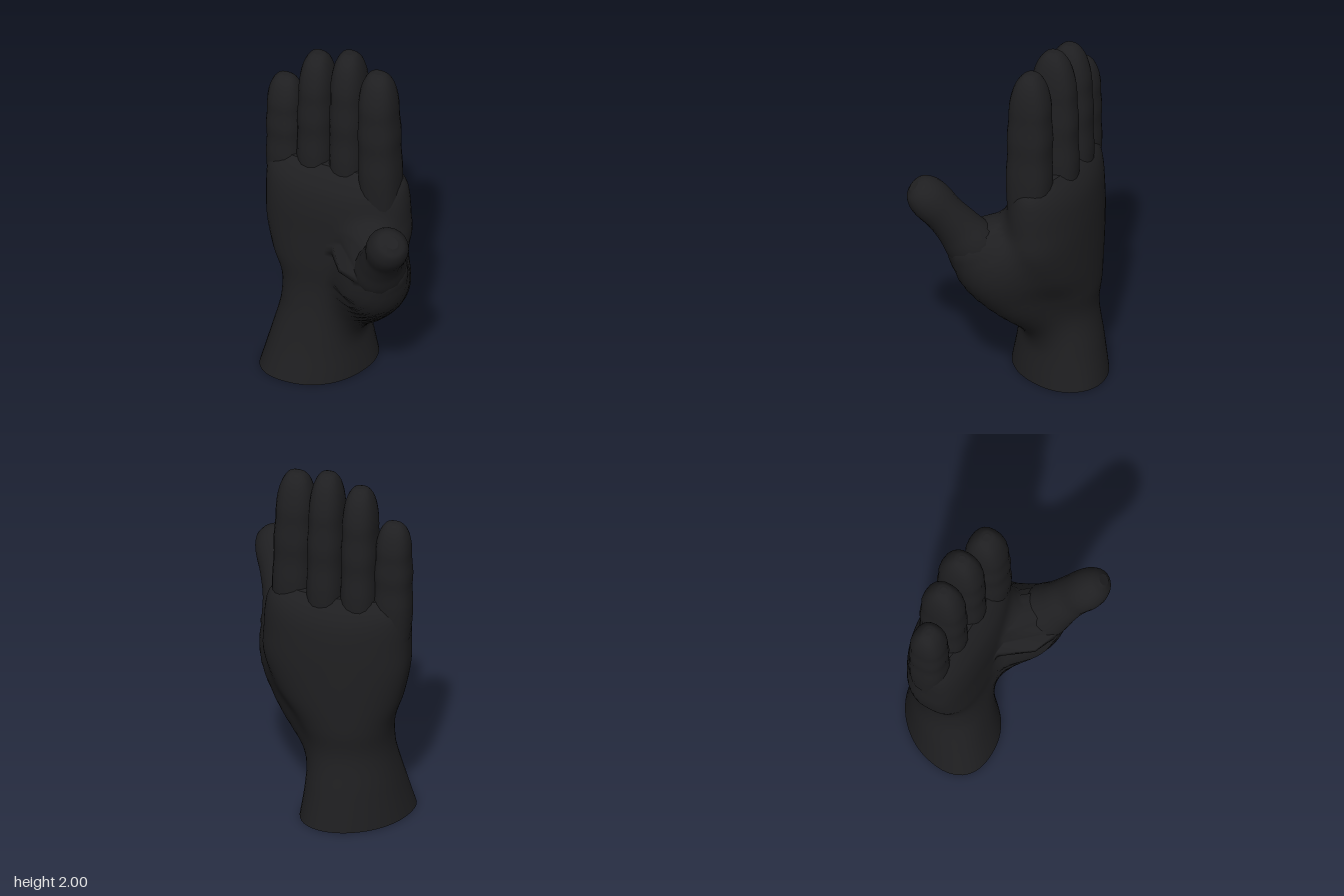
import * as THREE from 'three';

const skin = new THREE.MeshStandardMaterial({ color: 0x1f1f21 });
const curve = pts => new THREE.CatmullRomCurve3(
  pts.map(p => new THREE.Vector3(...p)), false, 'catmullrom', 0.5);
const bend = (v, power) => Math.sign(v) * Math.abs(v) ** (2 / power);

// Closed surface through rings; ringAt(t) returns { centre, points }.
function surface(name, steps, sides, ringAt) {
  const pos = [], index = [];
  const addRing = t => {
    const ring = ringAt(t);
    for (const p of ring.points) pos.push(p.x, p.y, p.z);
    return ring.centre;
  };
  for (let i = 0; i <= steps; i++) addRing(i / steps);
  for (let i = 0; i < steps; i++) {
    for (let j = 0; j < sides; j++) {
      const a = i * sides + j, b = i * sides + (j + 1) % sides;
      index.push(a, b, b + sides, a, b + sides, a + sides);
    }
  }
  // end caps with their own vertices, so the rims stay sharp
  for (const t of [0, 1]) {
    const first = pos.length / 3;
    const c = addRing(t);
    pos.push(c.x, c.y, c.z);
    for (let j = 0; j < sides; j++) {
      const a = first + j, b = first + (j + 1) % sides;
      index.push(first + sides, t ? a : b, t ? b : a);
    }
  }
  const geo = new THREE.BufferGeometry();
  geo.setAttribute('position', new THREE.Float32BufferAttribute(pos, 3));
  geo.setIndex(index);
  geo.computeVertexNormals();
  const mesh = new THREE.Mesh(geo, skin);
  mesh.name = name;
  return mesh;
}

// Tube through sections [x, y, z, halfWidth, halfDepth], rings square to the path
function limb(name, sections, power) {
  const sides = 20;
  const path = curve(sections.map(s => s.slice(0, 3)));
  const size = curve(sections.map(s => [s[3], s[4], 0]));
  const back = new THREE.Vector3(0, 0, -1);
  return surface(name, 44, sides, t => {
    const centre = path.getPoint(t), r = size.getPoint(t), T = path.getTangent(t);
    const U = back.clone().cross(T).normalize(), V = T.clone().cross(U);
    const points = Array.from({ length: sides }, (_, j) => {
      const a = (j / sides) * Math.PI * 2;
      return centre.clone()
        .addScaledVector(U, r.x * bend(Math.cos(a), power))
        .addScaledVector(V, r.y * bend(Math.sin(a), power));
    });
    return { centre, points };
  });
}

// Finger from inside the palm to a blunt tip: [along, width, depth]
const fingerProfile = [
  [0, 0.9, 0.85], [0.16, 0.98, 0.94], [0.3, 1.0, 0.98], [0.44, 0.96, 0.93], [0.56, 0.99, 0.96],
  [0.68, 0.93, 0.9], [0.78, 0.92, 0.88], [0.87, 0.84, 0.76], [0.94, 0.68, 0.58],
  [0.985, 0.45, 0.34], [1, 0.2, 0.14],
];
function finger(name, x0, x1, z0, z1, top, w, d) {
  const base = 1.08;
  return limb(name, fingerProfile.map(([t, sw, sd]) => [
    x0 + (x1 - x0) * t, base + (top - base) * t, z0 + (z1 - z0) * t ** 3, w * sw, d * sd,
  ]), 2.4);
}

// Free part of the thumb: [x, y, z, halfWidth, halfDepth]
const thumbSections = [
  [0.2, 0.76, 0.05, 0.1, 0.1],
  [0.262, 0.9, 0.125, 0.135, 0.145],
  [0.308, 1.02, 0.195, 0.116, 0.122],
  [0.35, 1.11, 0.25, 0.106, 0.11],
  [0.385, 1.19, 0.305, 0.114, 0.11],
  [0.412, 1.24, 0.338, 0.106, 0.1],
  [0.435, 1.28, 0.365, 0.08, 0.072],
  [0.447, 1.3, 0.38, 0.035, 0.03],
];

// Base of the thumb inside the palm's skin: [x, y, z, radius]
const thumbRoot = [
  [-0.02, 0.36, -0.13, 0.07],
  [0.06, 0.47, -0.09, 0.115],
  [0.13, 0.6, -0.03, 0.155],
  [0.2, 0.76, 0.05, 0.185],
  [0.262, 0.89, 0.12, 0.147],
];

// Extra fullness: outer thumb joint, thumb pad, web to the index finger
const fullness = [
  [0.28, 0.83, 0.04, 0.108],
  [0.14, 0.86, 0.14, 0.1],
  [0.16, 0.92, 0.04, 0.11],
];

// Wrist and palm: [x, y, z, halfWidth, halfDepth, skew of x along z]
const palmSections = [
  [-0.205, 0, -0.152, 0.265, 0.284, -0.27],
  [-0.195, 0.2, -0.16, 0.238, 0.243, -0.2],
  [-0.175, 0.4, -0.163, 0.224, 0.207, -0.1],
  [-0.147, 0.56, -0.178, 0.258, 0.206, 0],
  [-0.115, 0.72, -0.178, 0.338, 0.21, 0],
  [-0.098, 0.9, -0.178, 0.392, 0.208, 0],
  [-0.1, 1.05, -0.176, 0.394, 0.204, 0],
  [-0.105, 1.17, -0.178, 0.391, 0.186, 0],
  [-0.112, 1.25, -0.18, 0.378, 0.15, 0],
  [-0.118, 1.31, -0.178, 0.33, 0.1, 0],
];

// Palm whose rings swell smoothly around the base of the thumb
function palm() {
  const sides = 56, blend = 0.12;
  const path = curve(palmSections.map(s => s.slice(0, 3)));
  const size = curve(palmSections.map(s => s.slice(3)));
  const rootPath = curve(thumbRoot.map(s => s.slice(0, 3)));
  const rootSize = curve(thumbRoot.map(s => [s[3], 0, 0]));
  const balls = Array.from({ length: 20 }, (_, i) => ({
    c: rootPath.getPoint(i / 19), r: rootSize.getPoint(i / 19).x,
  }));
  for (const [x, y, z, r] of fullness) balls.push({ c: new THREE.Vector3(x, y, z), r });
  return surface('wristAndPalm', 64, sides, t => {
    const centre = path.getPoint(t), r = size.getPoint(t);
    const heel = Math.min(Math.max((centre.y - 0.4) / 0.3, 0), 1);
    // smooth union of the palm outline and the thumb root
    const field = p => {
      const dz = p.z - centre.z, dx = p.x - centre.x - r.z * dz;
      // rounded back, fuller heel below the little finger
      const n = dz < 0 ? 2 : 2.3 + (dx < 0 ? heel : 0);
      const a = ((Math.abs(dx) / r.x) ** n + (Math.abs(dz) / r.y) ** n) ** (1 / n) - 1;
      const d1 = a * Math.min(r.x, r.y);
      const d2 = Math.min(...balls.map(b => p.distanceTo(b.c) - b.r));
      const h = Math.max(blend - Math.abs(d1 - d2), 0);
      return Math.min(d1, d2) - h * h / (4 * blend);
    };
    const points = Array.from({ length: sides }, (_, j) => {
      const angle = (j / sides) * Math.PI * 2;
      const dir = new THREE.Vector3(r.x * Math.cos(angle), 0, -r.y * Math.sin(angle)).normalize();
      const at = s => centre.clone().addScaledVector(dir, s);
      // walk in from outside, then refine the crossing
      let inner = 0.8;
      while (inner > 0.02 && field(at(inner)) > 0) inner -= 0.02;
      let outer = inner + 0.02;
      for (let k = 0; k < 8; k++) {
        const mid = (inner + outer) / 2;
        if (field(at(mid)) > 0) outer = mid;
        else inner = mid;
      }
      return at(inner);
    });
    return { centre, points };
  });
}

export function createModel() {
  const hand = new THREE.Group();
  hand.name = 'hand';
  hand.add(palm());
  hand.add(limb('thumb', thumbSections, 2));

  // name, base x, tip x, base z, tip z, top height, half width, half depth
  const fingers = [
    ['littleFinger', -0.408, -0.415, -0.168, -0.17, 1.76, 0.1, 0.106],
    ['ringFinger', -0.236, -0.236, -0.185, -0.185, 1.945, 0.098, 0.134],
    ['middleFinger', -0.05, -0.055, -0.188, -0.182, 2.0, 0.099, 0.138],
    ['indexFinger', 0.15, 0.128, -0.142, -0.142, 1.955, 0.11, 0.125],
  ];
  for (const f of fingers) hand.add(finger(...f));
  return hand;
}
